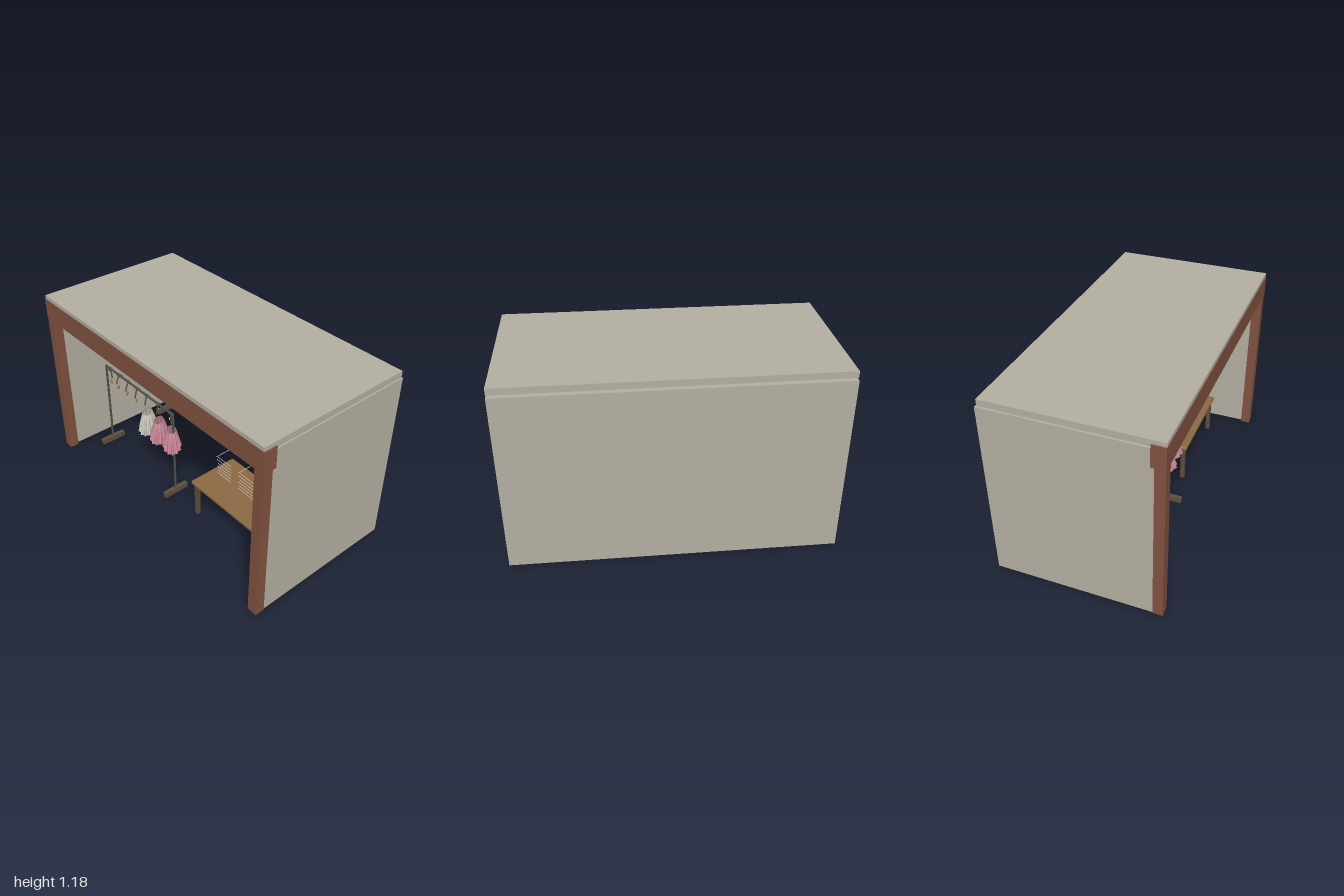
import * as THREE from 'three';
import { RoundedBoxGeometry } from 'three/addons/geometries/RoundedBoxGeometry.js';

export function createModel() {
  const model = new THREE.Group();
  model.name = 'clothesShop';

  const mat = (name, color, extra = {}) => {
    const m = new THREE.MeshStandardMaterial({ color, ...extra });
    m.name = name;
    return m;
  };
  const wall = mat('plaster', 0xb3aea1);
  const trim = mat('terracotta', 0x80523f);
  const metal = mat('darkMetal', 0x4c504c);
  const darkWood = mat('darkWood', 0x5e4e3c);
  const tableWood = mat('tableWood', 0x8b6943);
  const hangerWood = mat('hangerWood', 0x5c432c);
  const knobWood = mat('knobWood', 0xa5733f);
  const white = mat('paleFabric', 0xc8c5ba, { side: THREE.DoubleSide, flatShading: true });
  const pink = mat('pinkFabric', 0xcb8797, { side: THREE.DoubleSide, flatShading: true });

  const add = (parent, name, geometry, material, x = 0, y = 0, z = 0) => {
    const mesh = new THREE.Mesh(geometry, material);
    mesh.name = name;
    mesh.position.set(x, y, z);
    parent.add(mesh);
    return mesh;
  };
  // box given by its low and high limits on each axis
  const box = (parent, name, material, x0, x1, y0, y1, z0, z1) =>
    add(parent, name, new THREE.BoxGeometry(x1 - x0, y1 - y0, z1 - z0), material,
      (x0 + x1) / 2, (y0 + y1) / 2, (z0 + z1) / 2);
  const group = (name, x, y, z) => {
    const g = new THREE.Group();
    g.name = name;
    g.position.set(x, y, z);
    model.add(g);
    return g;
  };

  // Shell: roof floats just above the three walls, the floor is open
  box(model, 'roof', wall, -0.993, 0.993, 1.14, 1.18, -0.495, 0.51);
  box(model, 'backWall', wall, -0.993, 0.993, 0, 1.13, -0.51, -0.47);
  for (const s of [-1, 1]) {
    const x = s * 0.973;
    box(model, 'sideWall', wall, x - 0.02, x + 0.02, 0, 1.13, -0.47, 0.45);
    const px = s * 0.9655;
    box(model, 'frontPillar', trim, px - 0.0325, px + 0.0325, 0, 1.02, 0.45, 0.51);
  }
  box(model, 'lintel', trim, -1, 1, 1.02, 1.155, 0.43, 0.512);

  // Ceiling lamps
  for (const x of [-0.5, 0, 0.5])
    add(model, 'ceilingLamp', new THREE.CylinderGeometry(0.035, 0.035, 0.01, 16), metal, x, 1.135, 0.105);

  // Rows of small pegs on the back wall
  for (const x of [0.49, 0.6, 0.71, 0.82])
    for (let row = 0; row < 5; row++)
      for (let i = 0; i < 3; i++)
        add(model, 'wallPeg', new THREE.BoxGeometry(0.015, 0.015, 0.012), wall,
          x, 0.955 - row * 0.175 - i * 0.034, -0.465);

  // Clothes rail: two posts on long feet joined by a bar
  function clothesRack(name, x0, x1, top, z) {
    const rack = group(name, 0, 0, z);
    for (const x of [x0, x1]) {
      box(rack, 'rackFoot', darkWood, x - 0.015, x + 0.015, 0, 0.035, -0.09, 0.09);
      add(rack, 'rackPost', new THREE.CylinderGeometry(0.0075, 0.0075, top - 0.04, 10), metal,
        x, (top + 0.03) / 2, 0);
    }
    const bar = add(rack, 'rackBar', new THREE.CapsuleGeometry(0.0075, x1 - x0, 4, 10), metal,
      (x0 + x1) / 2, top - 0.0075, 0);
    bar.rotation.z = Math.PI / 2;
  }
  clothesRack('tallRack', -0.86, 0.855, 0.915, -0.295);
  clothesRack('shortRack', -0.82, -0.085, 0.635, 0.225);

  // Hanger: bowed wooden arms below a small hook over the bar
  const arms = new THREE.TubeGeometry(new THREE.CatmullRomCurve3(
    [[-0.05, -0.045], [-0.028, -0.02], [0, -0.01], [0.028, -0.02], [0.05, -0.045]]
      .map(([x, y]) => new THREE.Vector3(x, y, 0))), 16, 0.005, 6);
  const hook = new THREE.TorusGeometry(0.012, 0.0018, 5, 14, Math.PI * 1.5);

  // Pleated skirt: an open flared tube whose radius waves more towards the hem
  const skirt = new THREE.CylinderGeometry(1, 1, 0.13, 60, 5, true);
  const p = skirt.attributes.position;
  for (let i = 0; i < p.count; i++) {
    const t = 0.5 - p.getY(i) / 0.13;
    const a = Math.atan2(p.getZ(i), p.getX(i));
    const r = (0.047 + 0.046 * Math.pow(t, 0.8)) * (1 + (0.04 + 0.08 * t) * Math.cos(12 * a));
    p.setXYZ(i, Math.cos(a) * r, p.getY(i) + 0.004 * t * Math.cos(12 * a), Math.sin(a) * r * 0.6);
  }
  skirt.computeVertexNormals();

  // One hanging item: hanger with a skirt, a knob or nothing below it
  function hang(x, barY, z, turn, fabric, knobX) {
    const item = group('hangingItem', x, barY, z);
    item.rotation.y = turn;
    add(item, 'hangerArms', arms, hangerWood);
    const h = add(item, 'hangerHook', hook, metal, 0, 0, 0);
    h.rotation.set(0, Math.PI / 2, -Math.PI / 4);
    if (fabric) {
      add(item, 'skirt', skirt, fabric, 0, -0.19, 0);
      const tag = add(item, 'skirtClip', new THREE.TorusGeometry(0.01, 0.002, 5, 14), white, -0.018, -0.055, 0.008);
      tag.scale.y = 0.6;
    }
    if (knobX !== undefined) {
      const k = add(model, 'knob', new THREE.SphereGeometry(0.014, 12, 8), knobWood, knobX, barY - 0.103, z);
      k.scale.z = 0.5;
      k.rotation.y = turn;
    }
  }
  const tall = [[-0.69, white], [-0.435, null, -0.425], [-0.185, null, -0.17], [0.065, white], [0.32, pink]];
  for (const [x, fabric, knob] of tall) hang(x, 0.907, -0.295, 0, fabric, knob);
  const short = [
    [-0.77, -0.4, null, -0.77], [-0.67, -1, null, -0.685], [-0.565, -0.95, null, -0.585],
    [-0.465, -0.9, null, -0.48], [-0.36, -0.85, white], [-0.237, -0.85, pink], [-0.107, -0.6, pink],
  ];
  for (const [x, turn, fabric, knob] of short) hang(x, 0.627, 0.225, turn, fabric, knob);

  // Display table
  const table = group('displayTable', 0.4625, 0, 0.095);
  add(table, 'tableTop', new RoundedBoxGeometry(0.655, 0.03, 0.345, 3, 0.012), tableWood, 0, 0.252, 0);
  for (const sx of [-1, 1])
    for (const sz of [-1, 1])
      add(table, 'tableLeg', new THREE.BoxGeometry(0.026, 0.24, 0.026), darkWood, sx * 0.297, 0.12, sz * 0.145);

  // Thin fold lines of the garments stacked above the table
  for (const x of [0.19, 0.39, 0.59]) {
    for (let i = 0; i < 6; i++)
      box(model, 'garmentFold', white, x + 0.01 * (i % 2), x + 0.13, 0.28 + i * 0.025, 0.2825 + i * 0.025, 0.1, 0.103);
    box(model, 'garmentEdge', white, x, x + 0.003, 0.405, 0.4075, -0.06, 0.11);
  }

  return model;
}
